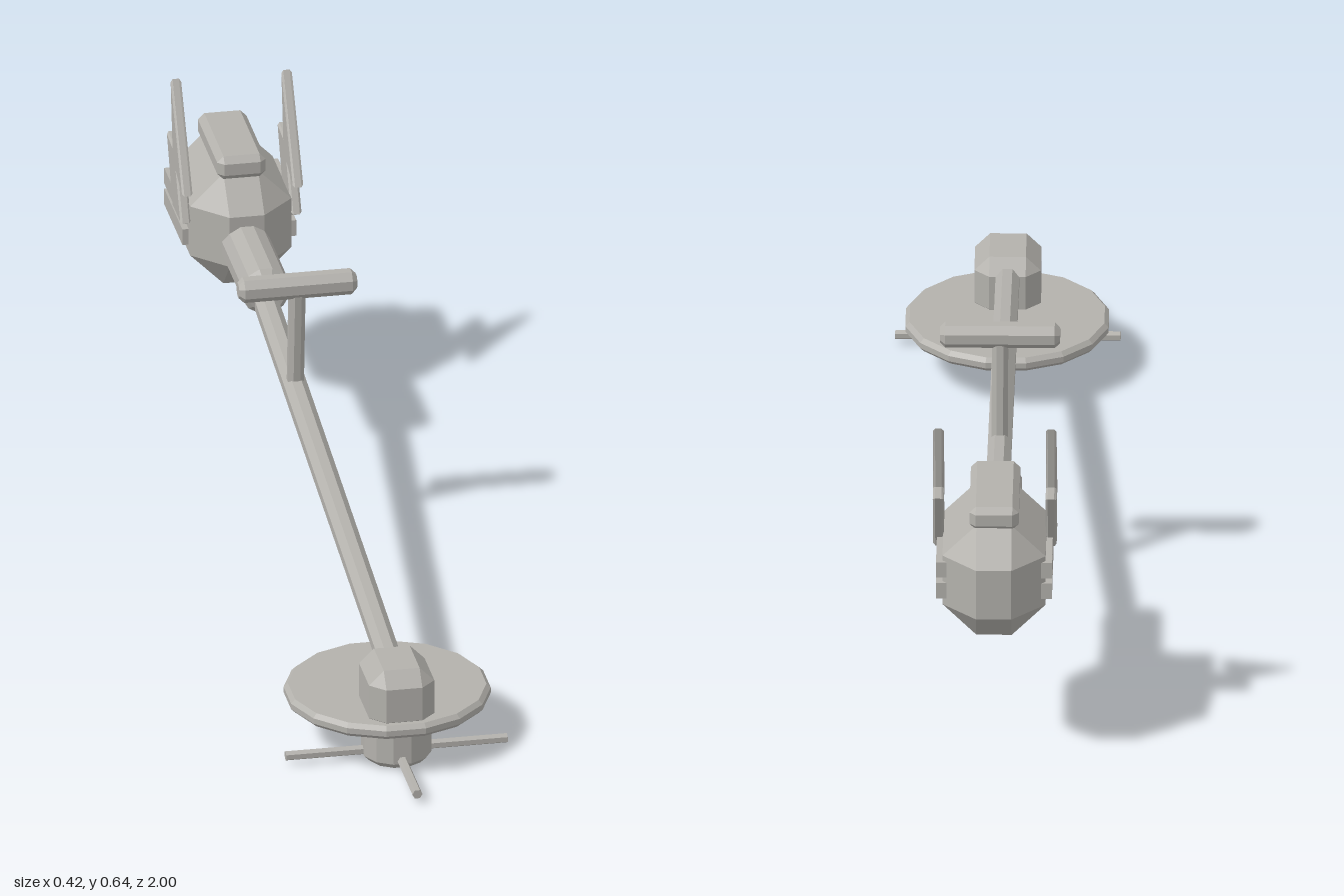
import * as THREE from 'three';
import { ConvexGeometry } from 'three/addons/geometries/ConvexGeometry.js';

const V = (x, y, z) => new THREE.Vector3(x, y, z);
const grey = new THREE.MeshStandardMaterial({ name: 'grey', color: 0xb3b1ac });

// One normal per face for a crisp faceted look
function faceted(geometry) {
  const g = geometry.index ? geometry.toNonIndexed() : geometry;
  g.computeVertexNormals();
  return g;
}

// Box with all edges cut by a flat bevel, given by its limits
function bevelBox(min, max, bevel) {
  const c = min.clone().add(max).multiplyScalar(0.5);
  const h = max.clone().sub(min).multiplyScalar(0.5);
  const pts = [];
  for (const sx of [-1, 1]) for (const sy of [-1, 1]) for (const sz of [-1, 1]) {
    for (let axis = 0; axis < 3; axis++) {
      const e = [0, 1, 2].map((i) => h.getComponent(i) - (i === axis ? 0 : bevel));
      pts.push(V(c.x + sx * e[0], c.y + sy * e[1], c.z + sz * e[2]));
    }
  }
  return new ConvexGeometry(pts);
}

// Faceted rod between two points with bevelled rims
function rod(a, b, radius, sides, bevel = 0) {
  const axis = b.clone().sub(a);
  const len = axis.length();
  const profile = [[0, 0], [radius - bevel, 0]];
  if (bevel) profile.push([radius, bevel], [radius, len - bevel]);
  profile.push([radius - bevel, len], [0, len]);
  const g = new THREE.LatheGeometry(profile.map((p) => new THREE.Vector2(...p)), sides, Math.PI / sides);
  g.applyQuaternion(new THREE.Quaternion().setFromUnitVectors(V(0, 1, 0), axis.normalize()));
  g.translate(a.x, a.y, a.z);
  return faceted(g);
}

// Lightning bolt plate standing in the y-z plane
function boltPlate() {
  const outline = [[-0.843, 0.635], [-0.731, 0.456], [-0.795, 0.477], [-0.748, 0.392],
    [-0.824, 0.392], [-0.88, 0.511], [-0.824, 0.507]];
  const shape = new THREE.Shape(outline.map(([z, y]) => new THREE.Vector2(-z, y)));
  const g = new THREE.ExtrudeGeometry(shape, {
    depth: 0.012, bevelEnabled: true, bevelThickness: 0.004, bevelSize: 0.004, bevelSegments: 1,
  });
  g.translate(0, 0, -0.006);
  g.rotateY(Math.PI / 2);
  return faceted(g);
}

export function createModel() {
  const model = new THREE.Group();
  model.name = 'stringTrimmer';
  const add = (name, geometry) => {
    const mesh = new THREE.Mesh(geometry, grey);
    mesh.name = name;
    model.add(mesh);
    return mesh;
  };

  // Engine housing, top cap and clutch collar
  add('engineHousing', bevelBox(V(-0.096, 0.257, -0.998), V(0.096, 0.484, -0.686), 0.063));
  add('engineCap', bevelBox(V(-0.046, 0.475, -0.945), V(0.046, 0.522, -0.73), 0.012));
  add('clutchCollar', rod(V(0, 0.355, -0.74), V(0, 0.355, -0.49), 0.047, 12, 0.01));

  // Cooling ribs and bolt plates on both sides
  for (const side of [-1, 1]) {
    const name = side > 0 ? 'left' : 'right';
    for (const y of [0.352, 0.395]) {
      const rib = add(name + 'CoolingRib', new THREE.BoxGeometry(0.03, 0.032, 0.18));
      rib.position.set(side * 0.093, y, -0.853);
    }
    add(name + 'BoltPlate', boltPlate()).position.x = side * 0.105;
  }

  // Long sloping shaft with its handle
  add('shaft', rod(V(0, 0.157, 0.78), V(0, 0.338, -0.55), 0.024, 8));
  add('handleStem', rod(V(0, 0.28, -0.211), V(0, 0.505, -0.192), 0.0165, 8));
  add('handleBar', rod(V(-0.112, 0.51, -0.192), V(0.112, 0.51, -0.192), 0.0245, 8, 0.01));

  // Cutting head
  add('gearBox', bevelBox(V(-0.062, 0.08, 0.718), V(0.062, 0.203, 0.872), 0.028));
  add('guardDisc', rod(V(0, 0.08, 0.7), V(0, 0.107, 0.7), 0.193, 16, 0.008));
  add('spool', rod(V(0, 0, 0.79), V(0, 0.095, 0.79), 0.066, 12, 0.012));

  // Four cutting lines around the spool
  for (let i = 0; i < 4; i++) {
    const a = (i * Math.PI) / 2;
    const tip = V(Math.sin(a) * 0.21, 0.018, 0.79 + Math.cos(a) * 0.21);
    add('cuttingLine', rod(V(0, 0.018, 0.79), tip, 0.0095, 6));
  }
  return model;
}
